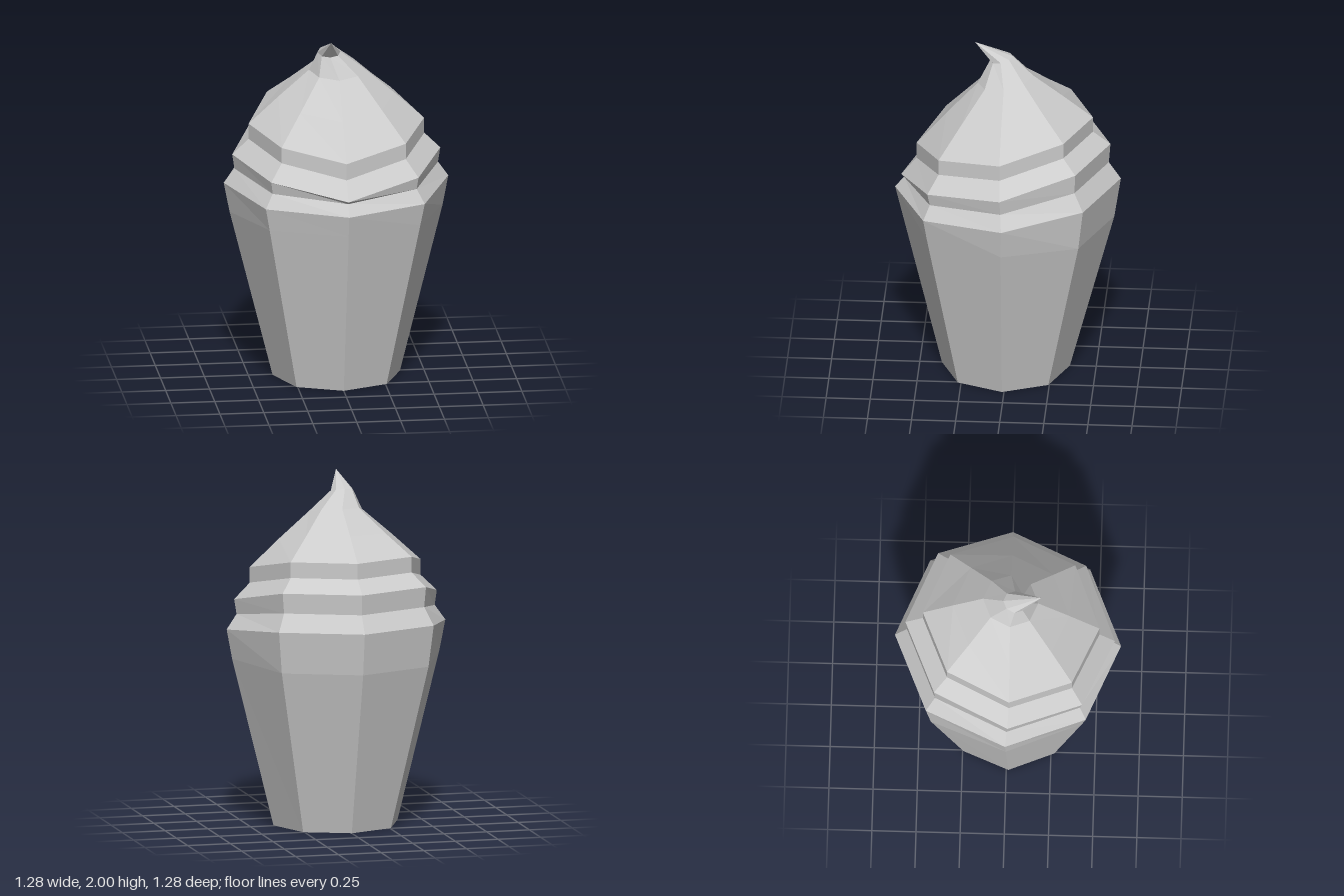
import * as THREE from 'three';

const SIDES = 8;

// Ring: [radius, centre x, centre z, heights from front through side to back (or one height)]
function skinRings(name, rings, material) {
  const loops = rings.map(([r, cx, cz, ys]) =>
    Array.from({ length: SIDES }, (_, i) => {
      const a = (i / SIDES) * Math.PI * 2;
      const step = Math.min(i, SIDES - i); // mirrored left and right
      const y = Array.isArray(ys) ? ys[step] : ys;
      return new THREE.Vector3(cx + r * Math.sin(a), y, cz + r * Math.cos(a));
    }));
  const points = [];
  for (let k = 0; k < loops.length - 1; k++) {
    for (let i = 0; i < SIDES; i++) {
      const j = (i + 1) % SIDES;
      const [a, b, c, d] = [loops[k][i], loops[k][j], loops[k + 1][j], loops[k + 1][i]];
      if (rings[k][0] > 0) points.push(a, b, d);
      if (rings[k + 1][0] > 0) points.push(b, c, d);
    }
  }
  const geometry = new THREE.BufferGeometry().setFromPoints(points);
  geometry.computeVertexNormals();
  const mesh = new THREE.Mesh(geometry, material);
  mesh.name = name;
  return mesh;
}

export function createModel() {
  const group = new THREE.Group();
  group.name = 'frostedCup';
  const material = new THREE.MeshStandardMaterial({ color: 0xcccccc, flatShading: true });

  const rim = [0.64, 0, 0, [1.1, 1.11, 1.14, 1.19, 1.19]];

  // Tapered cup, closed at the bottom
  group.add(skinRings('cup', [
    [0, 0, 0.012, 0],
    [0.363, 0, 0.012, 0],
    [0.607, 0, 0.004, [0.98, 0.98, 0.97, 0.95, 0.95]],
    rim,
  ], material));

  // Swirled frosting: tilted tiers, then a cone
  const neck = [0.065, -0.045, 0.04, [1.89, 1.893, 1.905, 1.917, 1.92]];
  group.add(skinRings('frosting', [
    rim,
    [0.58, 0, 0.008, [1.165, 1.19, 1.225, 1.29, 1.29]],
    [0.593, 0, 0.012, [1.18, 1.26, 1.31, 1.405, 1.405]],
    [0.5, 0, 0.018, [1.285, 1.355, 1.4, 1.48, 1.48]],
    [0.5, 0, 0.018, [1.38, 1.445, 1.49, 1.57, 1.57]],
    [0.33, 0, 0.018, [1.575, 1.61, 1.645, 1.69, 1.7]],
    [0.156, 0, 0.015, [1.77, 1.78, 1.795, 1.82, 1.825]],
    neck,
  ], material));

  // Curled peak leaning forward
  group.add(skinRings('peak', [neck, [0, -0.05, 0.19, 2]], material));

  return group;
}
